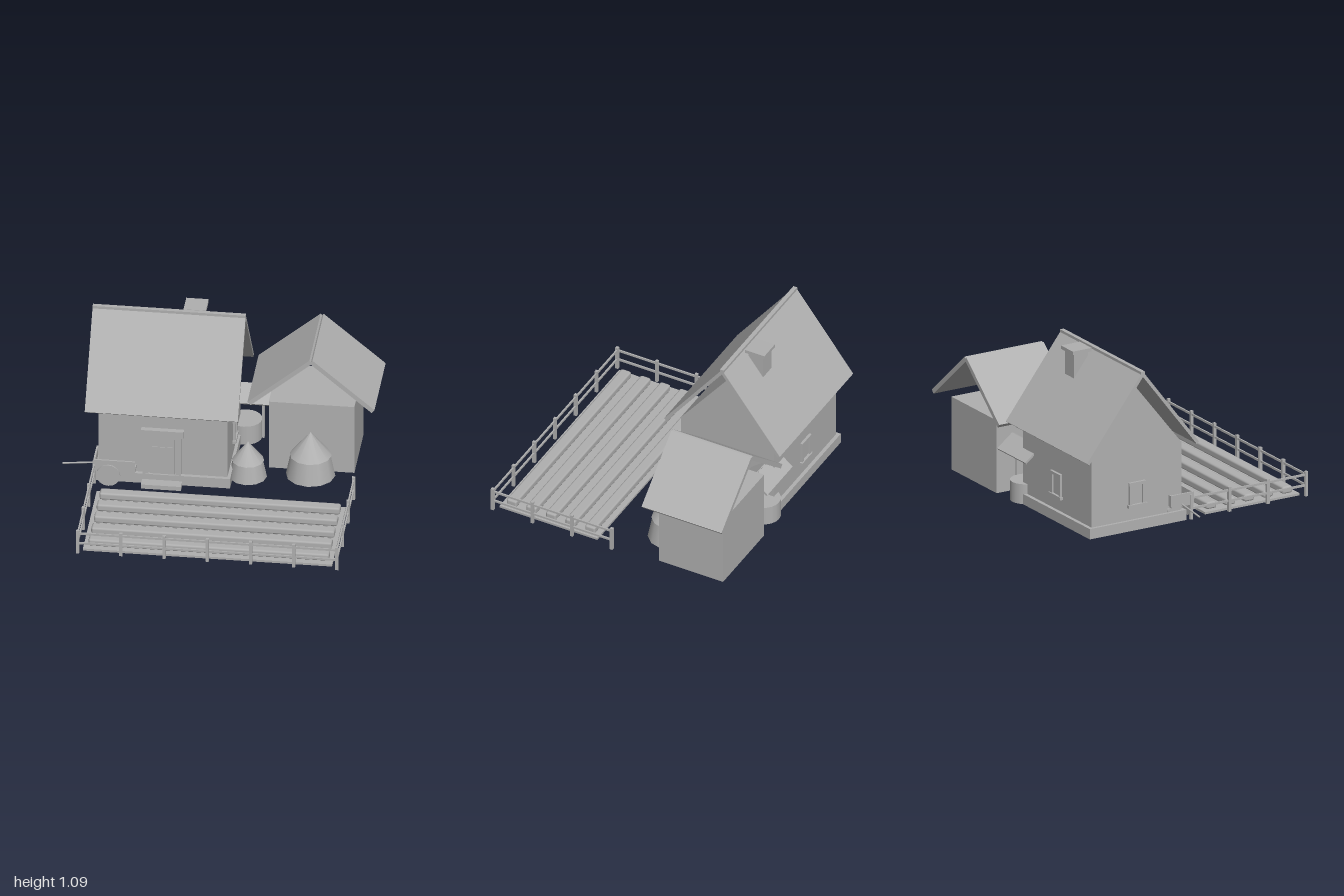
import * as THREE from 'three';
import { RoundedBoxGeometry } from 'three/addons/geometries/RoundedBoxGeometry.js';

export function createModel() {
  const root = new THREE.Group();
  const gray = new THREE.MeshStandardMaterial({ color: 0xb0b0b0 });
  gray.name = 'plain gray';
  const group = (name, parent = root) => {
    const g = new THREE.Group();
    g.name = name;
    parent.add(g);
    return g;
  };
  const add = (parent, name, geo) => {
    const m = new THREE.Mesh(geo, gray);
    m.name = name;
    parent.add(m);
    return m;
  };
  // Box given by its limits on each axis
  const box = (parent, name, x0, x1, y0, y1, z0, z1) => {
    const m = add(parent, name, new THREE.BoxGeometry(x1 - x0, y1 - y0, z1 - z0));
    m.position.set((x0 + x1) / 2, (y0 + y1) / 2, (z0 + z1) / 2);
    return m;
  };
  // Sloped panel running along x, from (z0, y0) to (z1, y1)
  const slab = (parent, name, x0, x1, z0, y0, z1, y1, t) => {
    const dz = z1 - z0, dy = y1 - y0;
    const m = add(parent, name, new THREE.BoxGeometry(x1 - x0, t, Math.hypot(dz, dy)));
    m.position.set((x0 + x1) / 2, (y0 + y1) / 2, (z0 + z1) / 2);
    m.rotation.x = -Math.atan2(dy, dz);
    return m;
  };
  const rod = (parent, name, a, b, r, sides = 8) => {
    const p = new THREE.Vector3(...a), d = new THREE.Vector3(...b).sub(p);
    const m = add(parent, name, new THREE.CylinderGeometry(r, r, d.length(), sides));
    m.position.copy(p).addScaledVector(d, 0.5);
    m.quaternion.setFromUnitVectors(new THREE.Vector3(0, 1, 0), d.normalize());
    return m;
  };

  // House walls with gables, on a foundation
  const house = group('house');
  const zc = -0.415;
  const profile = new THREE.Shape([[-0.34, 0], [0.34, 0], [0.34, 0.53], [0, 0.96], [-0.34, 0.53]]
    .map(p => new THREE.Vector2(...p)));
  const walls = add(house, 'walls', new THREE.ExtrudeGeometry(profile, { depth: 0.835, bevelEnabled: false }));
  walls.rotation.y = Math.PI / 2;
  walls.position.set(-0.765, 0, zc);
  box(house, 'foundation', -0.785, 0.09, 0, 0.07, -0.78, -0.05);

  // House roof, ridge and chimney
  for (const s of [1, -1])
    slab(house, 'roofPanel', -0.845, 0.147, zc + s * 0.415, 0.535, zc, 1.075, 0.022);
  box(house, 'ridgeCap', -0.845, 0.147, 1.065, 1.093, zc - 0.014, zc + 0.014);
  box(house, 'chimney', -0.243, -0.132, 0.8, 1.07, -0.565, -0.457);
  box(house, 'chimneyCap', -0.26, -0.115, 1.065, 1.088, -0.584, -0.441);

  // Door with frame and step
  const door = group('door', house);
  box(door, 'doorPanel', -0.435, -0.27, 0.03, 0.345, -0.08, -0.062);
  for (const x of [-0.458, -0.247]) box(door, 'doorPost', x - 0.018, x + 0.018, 0.03, 0.36, -0.08, -0.052);
  box(door, 'lintel', -0.487, -0.21, 0.355, 0.405, -0.08, -0.038);
  box(door, 'doorHead', -0.44, -0.265, 0.335, 0.357, -0.08, -0.056);
  box(door, 'doorStrap', -0.42, -0.285, 0.265, 0.272, -0.065, -0.058);
  box(door, 'step', -0.48, -0.22, 0, 0.03, -0.06, 0.02);

  // Windows on both gables and the back
  for (const [x, z, turn] of [[0.07, zc, Math.PI / 2], [-0.765, zc, -Math.PI / 2], [-0.345, -0.755, Math.PI]]) {
    const w = group('window', house);
    w.position.set(x, 0.24, z);
    w.rotation.y = turn;
    box(w, 'pane', -0.05, 0.05, -0.07, 0.07, -0.005, 0.004);
    for (const s of [-1, 1]) box(w, 'frameSide', s * 0.05 - 0.01, s * 0.05 + 0.01, -0.075, 0.08, -0.005, 0.015);
    box(w, 'frameTop', -0.062, 0.062, 0.065, 0.085, -0.005, 0.018);
    box(w, 'sill', -0.07, 0.07, -0.085, -0.065, -0.005, 0.022);
  }

  // Barn under an open gable roof
  const barn = group('barn');
  box(barn, 'barnWalls', 0.305, 0.86, 0, 0.495, -0.81, -0.34);
  for (const s of [-1, 1]) {
    const dx = 0.402, dy = 0.342;
    const p = add(barn, 'barnRoofPanel', new THREE.BoxGeometry(Math.hypot(dx, dy), 0.03, 0.585));
    p.position.set(0.585 + s * dx / 2, 0.503 + dy / 2, -0.58);
    p.rotation.z = -s * Math.atan2(dy, dx);
  }

  // Well with posts, beam and small roof
  const well = group('well');
  const wx = 0.11, wz = -0.705;
  add(well, 'wellWall', new THREE.CylinderGeometry(0.108, 0.108, 0.135, 20)).position.set(wx, 0.0675, wz);
  for (const s of [-1, 1]) {
    box(well, 'wellPost', wx + s * 0.115 - 0.008, wx + s * 0.115 + 0.008, 0, 0.32, wz - 0.008, wz + 0.008);
    slab(well, 'wellRoofPanel', wx - 0.17, wx + 0.17, wz + s * 0.112, 0.31, wz, 0.398, 0.014);
  }
  rod(well, 'wellBeam', [wx - 0.125, 0.29, wz], [wx + 0.125, 0.29, wz], 0.009);

  // Haystacks
  for (const [x, z, r, eave, h0, h1] of [[0.185, -0.225, 0.123, 0.098, 0.12, 0.257], [0.583, -0.29, 0.16, 0.13, 0.15, 0.317]]) {
    const stack = group('haystack');
    stack.position.set(x, 0, z);
    add(stack, 'stackBody', new THREE.CylinderGeometry(eave, r, h0, 12)).position.y = h0 / 2;
    add(stack, 'stackTop', new THREE.ConeGeometry(eave + 0.006, h1 - h0, 12)).position.y = (h0 + h1) / 2;
  }

  // Garden with five raised beds
  const garden = group('garden');
  box(garden, 'soil', -0.755, 0.86, 0, 0.015, 0.11, 0.825);
  for (let i = 0; i < 5; i++)
    add(garden, 'bed', new RoundedBoxGeometry(1.56, 0.05, 0.075, 1, 0.014)).position.set(0.055, 0.04, 0.18 + i * 0.1435);

  // Fence on three sides
  const fence = group('fence');
  const x0 = -0.785, x1 = 0.895, zb = -0.015, zf = 0.855;
  const post = (x, z) => box(fence, 'fencePost', x - 0.01, x + 0.01, 0, 0.168, z - 0.01, z + 0.01);
  for (let i = 0; i <= 6; i++) post(x0 + (x1 - x0) * i / 6, zf);
  for (let i = 0; i < 3; i++) for (const x of [x0, x1]) post(x, zb + (zf - zb) * i / 3);
  for (const y of [0.073, 0.145]) {
    box(fence, 'frontRail', x0, x1, y - 0.007, y + 0.007, zf - 0.005, zf + 0.005);
    for (const x of [x0, x1]) box(fence, 'sideRail', x - 0.005, x + 0.005, y - 0.007, y + 0.007, zb, zf);
  }

  // Handcart beside the house
  const cart = group('cart');
  box(cart, 'cartFloor', -0.79, -0.52, 0.1, 0.12, -0.165, 0);
  box(cart, 'cartEnd', -0.79, -0.778, 0.11, 0.185, -0.165, 0);
  for (const z of [-0.165, 0]) {
    box(cart, 'cartSide', -0.79, -0.52, 0.11, 0.185, z - 0.006, z + 0.006);
    rod(cart, 'cartWheel', [-0.692, 0.078, z], [-0.692, 0.078, z + (z < 0 ? -0.015 : 0.015)], 0.077, 16);
  }
  rod(cart, 'cartAxle', [-0.692, 0.078, -0.17], [-0.692, 0.078, 0.01], 0.01);
  rod(cart, 'cartPole', [-1, 0.09, -0.083], [-0.77, 0.115, -0.083], 0.006);
  return root;
}
